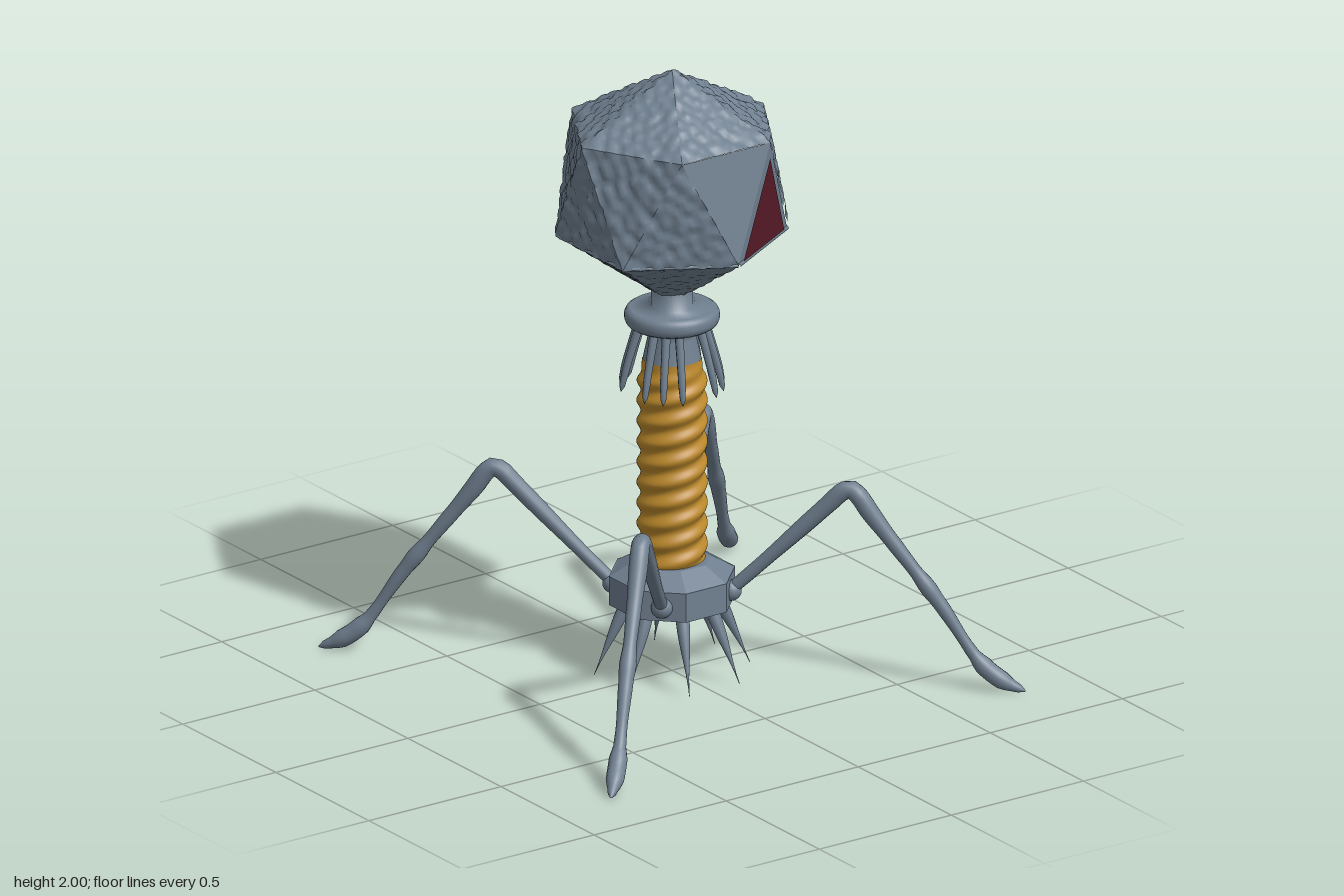
import * as THREE from 'three';
import { mergeVertices } from 'three/addons/utils/BufferGeometryUtils.js';

const V = (x, y, z) => new THREE.Vector3(x, y, z);
const polar = (r, deg, y) => {
  const a = THREE.MathUtils.degToRad(deg);
  return V(r * Math.cos(a), y, r * Math.sin(a));
};

export function createModel() {
  const model = new THREE.Group();
  const mat = (name, color) => Object.assign(new THREE.MeshStandardMaterial({ color }), { name });
  const grey = mat('slate grey', 0x708090);
  const gold = mat('sheath gold', 0xbd8a2c);
  const red = mat('window maroon', 0x561a27);
  const add = (name, geometry, material, parent = model) => {
    const mesh = new THREE.Mesh(geometry, material);
    mesh.name = name;
    parent.add(mesh);
    return mesh;
  };

  // Jittered, evenly spread directions: one pebble on the head shell each
  let seed = 7;
  const rand = () => (seed = (seed * 16807) % 2147483647) / 2147483647;
  const pebbles = [];
  for (let i = 0; i < 900; i++) {
    const y = 1 - (2 * (i + 0.5)) / 900;
    const r = Math.sqrt(1 - y * y);
    const a = i * 2.39996 + rand() * 0.1;
    pebbles.push(V(r * Math.cos(a), y + (rand() - 0.5) * 0.05, r * Math.sin(a)).normalize());
  }
  const center = V(0, 1.63, 0);
  const bump = (dir) => {
    let d = 9;
    for (const p of pebbles) d = Math.min(d, p.distanceToSquared(dir));
    return Math.max(0, 1 - d / 0.006);
  };

  // Triangular shell panel, subdivided and raised into pebbles by amp
  function panel(a, b, c, amp) {
    const normal = b.clone().sub(a).cross(c.clone().sub(a));
    if (normal.dot(a.clone().add(b).add(c).divideScalar(3).sub(center)) < 0) [b, c] = [c, b];
    const n = amp ? 26 : 1;
    const pos = [], index = [];
    const id = (i, j) => (i * (i + 1)) / 2 + j;
    for (let i = 0; i <= n; i++) {
      for (let j = 0; j <= i; j++) {
        const p = a.clone().multiplyScalar(1 - i / n)
          .addScaledVector(b, (i - j) / n).addScaledVector(c, j / n);
        const dir = p.clone().sub(center).normalize();
        if (amp) p.addScaledVector(dir, amp * bump(dir));
        pos.push(p.x, p.y, p.z);
        if (i < n) index.push(id(i, j), id(i + 1, j), id(i + 1, j + 1));
        if (i < n && j < i) index.push(id(i, j), id(i + 1, j + 1), id(i, j + 1));
      }
    }
    const g = new THREE.BufferGeometry();
    g.setAttribute('position', new THREE.Float32BufferAttribute(pos, 3));
    g.setIndex(index);
    g.computeVertexNormals();
    return g;
  }

  // Head: six-fold shell of two caps and a band of alternating triangles
  const head = new THREE.Group();
  head.name = 'head';
  model.add(head);
  const top = V(0, 1.995, 0), bottom = V(0, 1.235, 0);
  const U = (k) => polar(0.335, 60 * k, 1.815);
  const L = (k) => polar(0.357, 30 + 60 * k, 1.465);
  for (let k = 0; k < 6; k++) {
    add('topPanel', panel(top, U(k), U(k + 1), 0.012), grey, head);
    add('bottomPanel', panel(bottom, L(k), L(k + 1), 0.007), grey, head);
    add('bandPanelDown', panel(U(k), U(k + 1), L(k), k % 3 === 1 ? 0 : 0.012), grey, head);
    const flat = k === 1 || k === 4 || k === 5;
    const tri = [L(k - 1), L(k), U(k)];
    add('bandPanelUp', panel(...tri, flat ? 0 : 0.012), grey, head);
    if (k === 1 || k === 4) {
      // Window lies just proud of its flat panel
      const mid = tri[0].clone().add(tri[1]).multiplyScalar(0.47).addScaledVector(tri[2], 0.06);
      const out = tri[1].clone().sub(tri[0]).cross(tri[2].clone().sub(tri[0])).normalize();
      if (out.dot(mid.clone().sub(center)) < 0) out.negate();
      const win = tri.map((p) => p.clone().lerp(mid, 0.16).addScaledVector(out, 0.004));
      add('window', panel(...win, 0), red, head);
    }
  }
  // Seam along the lower rim
  for (let k = 0; k < 6; k++) {
    add('rim', new THREE.TubeGeometry(new THREE.LineCurve3(L(k), L(k + 1)), 1, 0.007, 6), grey, head);
  }

  // Neck, rounded collar and the cone beneath it
  const profile = [[0.065, 1.3], [0.065, 1.218], [0.13, 1.218], [0.142, 1.21], [0.148, 1.198],
    [0.148, 1.18], [0.142, 1.166], [0.13, 1.158], [0.07, 1.158], [0.075, 1.12], [0.092, 1.04]];
  add('neckAndCollar', new THREE.LatheGeometry(
    profile.reverse().map(([r, y]) => new THREE.Vector2(r, y)), 40), grey);

  // Whiskers hang in four clusters of three
  for (let q = 0; q < 4; q++) {
    for (const off of [-22, 0, 22]) {
      const a = 45 + 90 * q + off;
      add('whisker', taper([polar(0.1, a, 1.17), polar(0.122, a, 1.1), polar(0.145, a, 1.02),
        polar(0.162, a, 0.945)], [[0, 0.014], [0.7, 0.012], [0.93, 0.009], [1, 0.001]], 12, 8), grey);
    }
  }

  // Sheath: cylinder with a two-start helical ridge
  const sheath = new THREE.CylinderGeometry(1, 1, 0.68, 48, 140, true);
  const sp = sheath.attributes.position;
  for (let i = 0; i < sp.count; i++) {
    const x = sp.getX(i), z = sp.getZ(i), y = sp.getY(i) + 0.71;
    const wave = Math.cos((Math.PI * 2 * y) / 0.068 - 2 * Math.atan2(x, z));
    const topFade = THREE.MathUtils.smoothstep(y, 0.96, 1.05);
    const r = 0.104 - 0.012 * topFade + 0.0065 * wave * (1 - topFade);
    sp.setXYZ(i, x * r, y, z * r);
  }
  sheath.deleteAttribute('uv');
  sheath.deleteAttribute('normal');
  const sheathGeo = mergeVertices(sheath);
  sheathGeo.computeVertexNormals();
  add('sheath', sheathGeo, gold);

  // Octagonal base plate with a bevelled shoulder
  const octagon = (name, r1, r2, y0, y1) => {
    const g = new THREE.CylinderGeometry(r1, r2, y1 - y0, 8).toNonIndexed();
    g.rotateY(Math.PI / 8);
    g.translate(0, (y0 + y1) / 2, 0);
    g.computeVertexNormals();
    add(name, g, grey);
  };
  octagon('basePlate', 0.2, 0.2, 0.24, 0.335);
  octagon('baseShoulder', 0.122, 0.196, 0.335, 0.38);

  // Spikes under the plate
  for (let k = 0; k < 8; k++) {
    const a = 22.5 + 45 * k;
    add('spike', taper([polar(0.135, a, 0.26), polar(0.195, a, 0.13), polar(0.247, a, 0.012)],
      [[0, 0.022], [0.15, 0.021], [1, 0.001]], 10, 10), grey);
  }

  // Four jointed legs on the diagonals
  const path = [[0.15, 0.255], [0.26, 0.36], [0.5, 0.6], [0.535, 0.635], [0.562, 0.645], [0.59, 0.62],
    [0.62, 0.575], [0.84, 0.285], [0.97, 0.095], [1.04, 0.04], [1.11, 0.01]];
  const girth = [[0, 0.02], [0.12, 0.021], [0.3, 0.027], [0.39, 0.029], [0.45, 0.03], [0.55, 0.024],
    [0.63, 0.021], [0.68, 0.027], [0.72, 0.023], [0.82, 0.018], [0.86, 0.02], [0.89, 0.029],
    [0.94, 0.029], [0.98, 0.016], [1, 0.002]];
  for (let q = 0; q < 4; q++) {
    const a = 45 + 90 * q;
    add('leg', taper(path.map(([r, y]) => polar(r, a, y)), girth, 72, 14), grey);
    const socket = add('legSocket', new THREE.SphereGeometry(0.034, 16, 12), grey);
    socket.position.copy(polar(0.185, a, 0.285));
  }
  return model;
}

// Tube along points whose radius follows [position, radius] stops
function taper(points, stops, segments, sides) {
  const curve = new THREE.CatmullRomCurve3(points, false, 'centripetal');
  const g = new THREE.TubeGeometry(curve, segments, 1, sides);
  const pos = g.attributes.position, nor = g.attributes.normal;
  for (let i = 0; i <= segments; i++) {
    const u = i / segments;
    const p = curve.getPointAt(u);
    const s = Math.max(1, stops.findIndex(([t]) => t >= u));
    const [t0, r0] = stops[s - 1], [t1, r1] = stops[s];
    const r = THREE.MathUtils.lerp(r0, r1, THREE.MathUtils.smoothstep(u, t0, t1));
    for (let j = 0; j <= sides; j++) {
      const k = i * (sides + 1) + j;
      pos.setXYZ(k, p.x + r * nor.getX(k), Math.max(0, p.y + r * nor.getY(k)), p.z + r * nor.getZ(k));
    }
  }
  g.deleteAttribute('uv');
  g.deleteAttribute('normal');
  const merged = mergeVertices(g);
  merged.computeVertexNormals();
  return merged;
}
